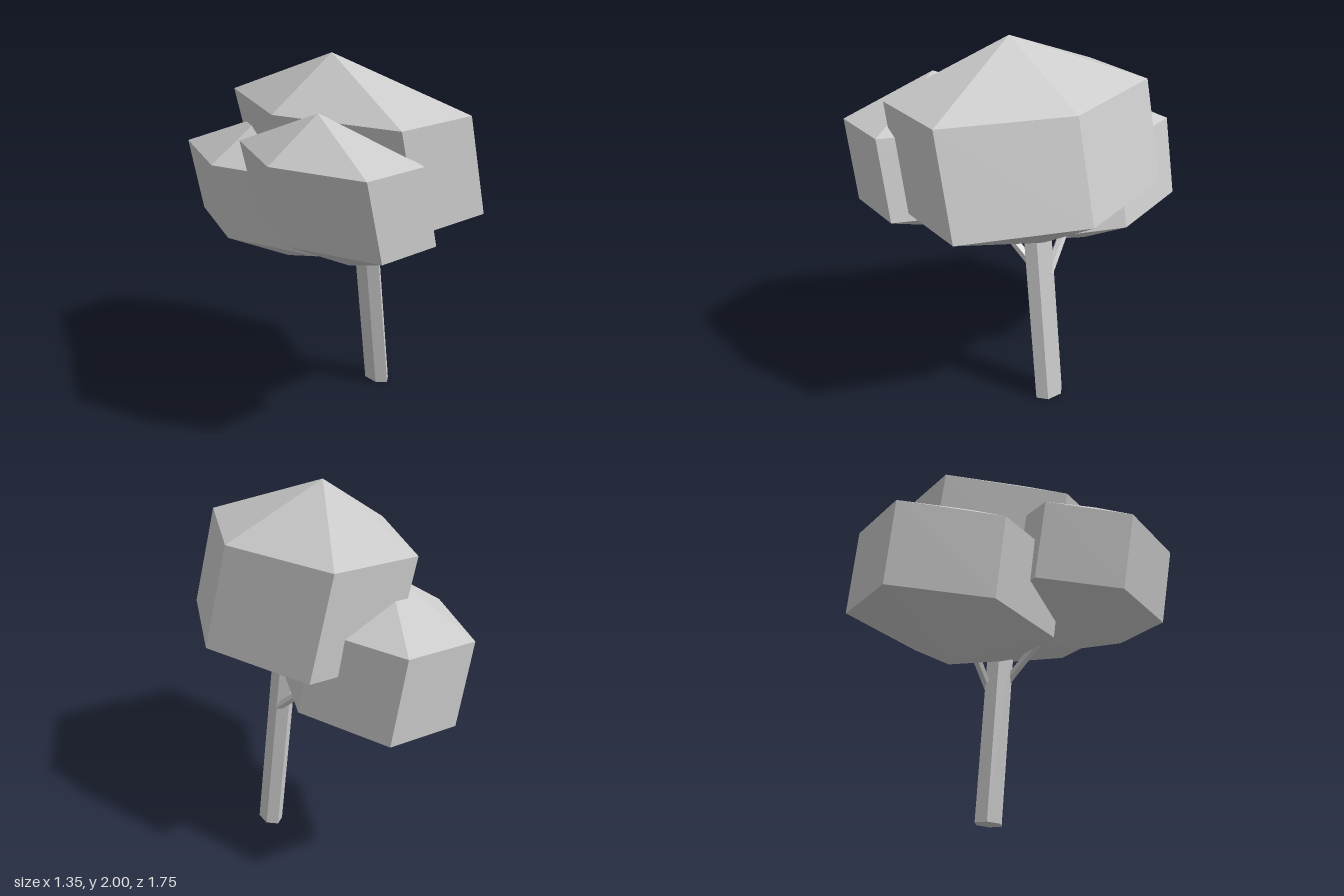
import * as THREE from 'three';

const material = new THREE.MeshStandardMaterial({ color: 0xcccccc, flatShading: true });

// Six-sided leaf mass: a leaning prism with a pointed top and bottom.
// levels: four [y, centreX] pairs from the bottom tip to the top tip
function makeCrown(name, levels, z, radiusX, radiusZ) {
  const profile = levels.map(([y], i) => new THREE.Vector2(i === 0 || i === 3 ? 0 : 1, y));
  const geometry = new THREE.LatheGeometry(profile, 6, Math.PI / 2);
  geometry.scale(radiusX, 1, radiusZ);
  const pos = geometry.attributes.position;
  for (let i = 0; i < pos.count; i++) {
    pos.setX(i, pos.getX(i) + levels[i % 4][1]);
  }
  geometry.translate(0, 0, z);
  geometry.computeVertexNormals();
  const mesh = new THREE.Mesh(geometry, material);
  mesh.name = name;
  return mesh;
}

// Six-sided branch running between two points
function makeBranch(name, from, to, radius) {
  const a = new THREE.Vector3(...from);
  const b = new THREE.Vector3(...to);
  const direction = b.clone().sub(a);
  const geometry = new THREE.CylinderGeometry(radius, radius, direction.length(), 6);
  const mesh = new THREE.Mesh(geometry, material);
  mesh.position.copy(a).add(b).multiplyScalar(0.5);
  mesh.quaternion.setFromUnitVectors(new THREE.Vector3(0, 1, 0), direction.normalize());
  mesh.name = name;
  return mesh;
}

// Leaning trunk with level ends
function makeTrunk() {
  const height = 1.1;
  const geometry = new THREE.CylinderGeometry(1, 1, height, 6);
  geometry.scale(0.06, 1, 0.09);
  geometry.translate(0, height / 2, 0);
  const pos = geometry.attributes.position;
  for (let i = 0; i < pos.count; i++) {
    pos.setX(i, pos.getX(i) + 0.32 - 0.118 * pos.getY(i));
  }
  geometry.translate(0, 0, 0.13);
  geometry.computeVertexNormals();
  const mesh = new THREE.Mesh(geometry, material);
  mesh.name = 'trunk';
  return mesh;
}

export function createModel() {
  const tree = new THREE.Group();
  tree.name = 'tree';
  tree.add(
    makeTrunk(),
    makeBranch('frontBranch', [0.265, 0.745, 0.145], [-0.06, 1.13, 0.32], 0.026),
    makeBranch('backBranch', [0.265, 0.745, 0.1], [0.09, 1.05, -0.22], 0.026),
    makeCrown('mainCrown',
      [[0.935, 0.25], [1.195, 0.185], [1.735, 0.045], [2.0, -0.05]], 0.127, 0.487, 0.757),
    makeCrown('frontCrown',
      [[0.945, -0.165], [1.155, -0.21], [1.575, -0.315], [1.78, -0.375]], 0.398, 0.365, 0.546),
    makeCrown('backCrown',
      [[0.73, 0.02], [0.945, -0.01], [1.385, -0.1], [1.6, -0.16]], -0.34, 0.397, 0.618)
  );
  return tree;
}
